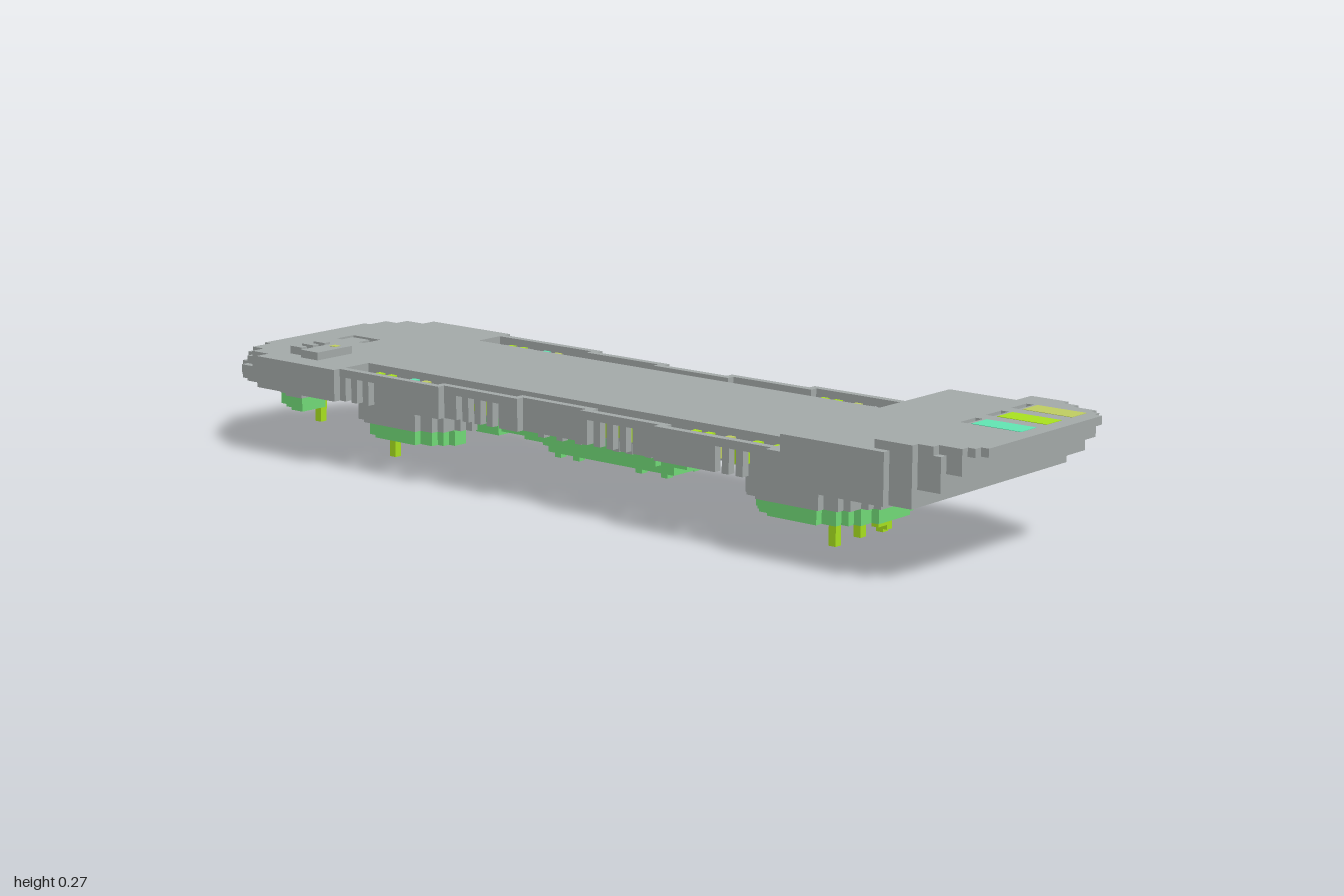
import * as THREE from 'three';
import { mergeGeometries } from 'three/addons/utils/BufferGeometryUtils.js';

// All sizes are in blocks; the hull is 120 blocks long.
const BLOCK = 1 / 60;

export function createModel() {
  const paint = (name, color) => {
    const m = new THREE.MeshStandardMaterial({ color });
    m.name = name;
    return m;
  };
  const grey = paint('hull grey', 0xa5abaa);
  const green = paint('engine green', 0x72dc78);
  const lime = paint('lime', 0xaae31f);
  const teal = paint('teal', 0x62e6b4);
  const straw = paint('straw', 0xc0cf62);

  const root = new THREE.Group();
  root.name = 'hoverPlatform';
  const ship = new THREE.Group();
  ship.name = 'ship';
  ship.scale.setScalar(BLOCK);
  root.add(ship);

  const add = (name, geo, mat) => {
    const mesh = new THREE.Mesh(geo, mat);
    mesh.name = name;
    ship.add(mesh);
  };
  const boxGeo = ([x0, x1, y0, y1, z0, z1]) =>
    new THREE.BoxGeometry(x1 - x0, y1 - y0, z1 - z0)
      .translate((x0 + x1) / 2, (y0 + y1) / 2, (z0 + z1) / 2);
  const boxes = (name, list, mat) => add(name, mergeGeometries(list.map(boxGeo)), mat);
  const mirrorZ = list => list.concat(list.map(([a, b, c, d, e, f]) => [a, b, c, d, -f, -e]));

  // Flat layer with a stair-stepped outline: [x, halfWidth] from x onwards
  const layer = (name, steps, end, y0, y1, mat, holes = []) => {
    const side = [];
    steps.forEach(([x, h], i) => {
      const next = i + 1 < steps.length ? steps[i + 1][0] : end;
      side.push([x, h], [next, h]);
    });
    const outline = side.map(([x, h]) => new THREE.Vector2(x, -h))
      .concat(side.slice().reverse().map(([x, h]) => new THREE.Vector2(x, h)));
    const shape = new THREE.Shape(outline);
    holes.forEach(hole =>
      shape.holes.push(new THREE.Path(hole.map(([x, z]) => new THREE.Vector2(x, -z)))));
    const geo = new THREE.ExtrudeGeometry(shape, { depth: y1 - y0, bevelEnabled: false });
    add(name, geo.rotateX(-Math.PI / 2).translate(0, y0, 0), mat);
  };
  const rect = (x0, x1, z0, z1) => [[x0, z0], [x1, z0], [x1, z1], [x0, z1]];

  // Blocky plan shape: columns along z wherever test(x, z) holds
  const blocky = (name, x0, x1, zMax, y0, y1, test, mat) => {
    const list = [];
    for (let x = x0; x < x1; x++) {
      let start = null;
      for (let z = -zMax; z <= zMax; z++) {
        const on = z < zMax && test(x + 0.5, z + 0.5);
        if (on && start === null) start = z;
        if (!on && start !== null) {
          list.push([x, x + 1, y0, y1, start, z]);
          start = null;
        }
      }
    }
    boxes(name, list, mat);
  };

  // Deck, stepping back at the tail on each higher layer
  const middle = [[-48, 16], [-34, 10], [34, 16], [50, 15]];
  const middleHigh = [...middle, [53, 14]];
  layer('lowerDeck', [[-60, 6], [-58, 9], [-56, 11], [-54, 13], [-52, 14], ...middle], 53, 9, 10, grey);
  layer('middleDeck', [[-58, 6], [-57, 9], [-55, 12], [-53, 14], ...middle], 53, 10, 11, grey);
  layer('upperDeck', [[-56, 8], [-55, 11], [-53, 13], [-51, 14], ...middleHigh], 56, 11, 12, grey);
  layer('topDeck', [[-54, 9], [-53, 12], [-51, 14], ...middleHigh], 56, 12, 13, grey,
    [[[-49, -2], [-44, -2], [-44, 1], [-45, 1], [-45, -1], [-48, -1], [-48, 1], [-49, 1]]]);

  // Raised prow with three sockets and coloured panels
  const panels = [[-11, straw], [-6, lime], [-1, teal]];
  layer('prowBase', [[36, 16], [50, 15], [53, 14], [56, 13]], 58, 13, 15, grey);
  layer('prowTop', [[48, 15], [53, 14], [55, 13], [58, 12], [59, 11]], 60, 15, 16, grey,
    panels.map(([z]) => rect(50, 51, z, z + 3)));
  panels.forEach(([z, mat], i) =>
    boxes('prowPanel' + (i + 1), [[51.5, 58, 16, 16.05, z, z + 3]], mat));

  // Side rails notched from below, narrowing towards the waist
  const notches = [-33, -31, -29, -15, -13, -11, -9, 6, 8, 10, 12, 26, 28, 30];
  const rails = [];
  const section = x => (Math.abs(x) > 17 ? 14 : Math.abs(x) > 5 ? 13 : 12);
  [[-34, -17], [-17, -5], [-5, 5], [5, 17], [17, 34]].forEach(([a, b]) => {
    const z = section((a + b) / 2);
    rails.push([a, b, 12, 13, z, z + 1]);
    for (let x = a; x < b; x++) {
      if (!notches.includes(x)) rails.push([x, x + 1, 9, 12, z, z + 1]);
    }
  });
  // Joints between rail sections
  [[-18, 13], [-6, 12], [5, 12], [17, 13]].forEach(([x, z]) => rails.push([x, x + 1, 9, 13, z, z + 2]));
  boxes('sideRails', mirrorZ(rails), grey);

  // Conduits and ribs inside the side slots
  boxes('nearConduit', [[-33, 34, 10, 11.7, 11, 12]], lime);
  boxes('farConduit', [[-33, 34, 10, 11, -13, -10], [-33, 34, 11, 11.7, -12.95, -12]], lime);
  boxes('conduitCaps', [[-33, 34, 11.7, 12, 11, 12], [-33, 34, 11.7, 12, -12.95, -12],
    [-33, 34, 11, 11.3, -11, -10]], straw);
  boxes('farCable', [[-33, 34, 11, 12, -12, -11]], green);
  const ribs = (name, xs, mat) =>
    boxes(name, mirrorZ(xs.map(x => [x, x + 1, 10, 12.1, 10, section(x + 0.5)])), mat);
  ribs('limeRibs', [-32, -30, -12, 8, 11, 19, 21, 28, 31], lime);
  ribs('tealRibs', [-26, 33], teal);
  ribs('strawRibs', [-24, 1, 24], straw);
  ribs('greenRibs', [-5, 14], green);

  // Tail deck controls
  boxes('controlBox', [[-43, -40, 13, 14, 7, 13]], grey);
  boxes('controlLight', [[-42, -41, 14, 14.05, 8, 9]], straw);
  boxes('controlKeys', [7, 9, 11].map(z => [-46, -44, 13, 14, z, z + 1]), grey);

  // Round lift pods with a ring of emitters bulging outwards
  [['tailPod', -31.5, -1], ['prowPod', 31.5, 1]].forEach(([name, cx, dir]) => {
    const x0 = Math.floor(cx - 10);
    const ring = (inner, outer) => (x, z) => {
      const r = Math.hypot(x - cx, z);
      return r < outer && r > inner && !((x - cx) * dir < -3 && Math.abs(z) < 3);
    };
    blocky(name + 'Rim', x0, x0 + 21, 9, 8, 9, ring(5, 10.5), grey);
    blocky(name + 'Housing', x0, x0 + 21, 9, 5, 8, ring(5, 9.7), grey);
    blocky(name + 'Ring', x0, x0 + 21, 8, 3, 5, ring(5, 8.4), green);
    const spikes = [[3.5, 0, 4, 5], [5.5, 1, 2, 3]].map(([d, y, z0, z1]) => {
      const x = cx + dir * d;
      return [x - 0.5, x + 0.5, y, 5, z0, z1];
    });
    const tip = cx + dir * 6.5;
    boxes(name + 'Emitters', [...mirrorZ(spikes), [tip - 0.5, tip + 0.5, 2, 5, -1, 1]], lime);
  });

  // Tail crescent around the rear pod
  const crescent = (inner, outer) => (x, z) => {
    const r = Math.hypot(x + 41, z);
    return r < outer && r > inner;
  };
  blocky('tailCrescentMount', -55, -42, 14, 8, 9, crescent(8, 14), grey);
  blocky('tailCrescent', -54, -43, 13, 6, 8, crescent(9, 13), green);
  boxes('tailEmitters', [...mirrorZ([[-48, -47, 3, 9, 5, 6], [-50, -49, 4, 9, 3, 4]]),
    [-51, -50, 5, 9, -1, 1]], lime);

  // Stepped hollow keel between the pods
  const well = [rect(-9, 9, -2, 2)];
  layer('keelMount', [[-24, 3], [-20, 6], [17, 3]], 22, 8, 9, grey);
  layer('keelUpper', [[-19, 3], [-16, 5], [12, 3]], 14, 6, 8, green, well);
  layer('keelLower', [[-14, 3], [-10, 4], [8, 3]], 12, 5, 6, green, well);
  layer('keelRails', [[-10, 3]], 10, 4, 5, green, well);
  boxes('keelStuds', mirrorZ([-9, -6, 4, 8].map(x => [x, x + 1, 3.5, 6, 2, 3])), green);
  boxes('keelBrackets', mirrorZ([-9, -6, -3, 3, 5, 8].map(x => [x, x + 1, 6.5, 8, 5, 6])), grey);

  return root;
}
